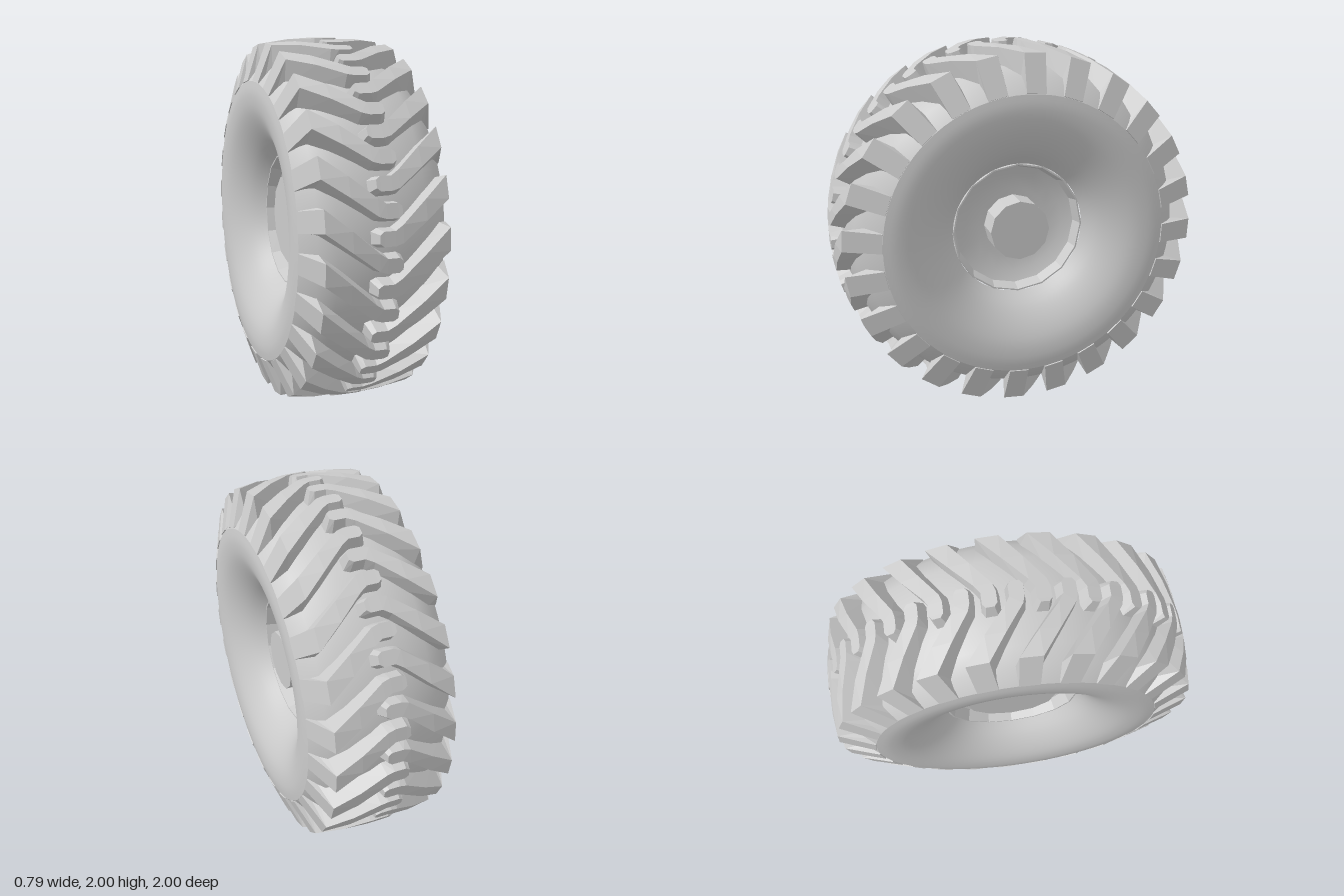
import * as THREE from 'three';

const LUGS = 24;
const DEG = Math.PI / 180;
const smooth = new THREE.MeshStandardMaterial({ color: 0xcccccc });
const faceted = new THREE.MeshStandardMaterial({ color: 0xcccccc, flatShading: true });

// Revolves [x, radius] points around the axle (the x axis)
function revolve(name, points, segments, material) {
  const geo = new THREE.LatheGeometry(points.map(([x, r]) => new THREE.Vector2(r, x)), segments);
  geo.rotateZ(-Math.PI / 2);
  const mesh = new THREE.Mesh(geo, material);
  mesh.name = name;
  return mesh;
}

// Mirrors a profile to the other side, keeping its faces outward
const mirror = (points) => points.map(([x, r]) => [-x, r]).reverse();

// Tread bar stations, shoulder to centre hook:
// [angle, half width, base flare (degrees), top x, top radius, base x, base radius]
const STATIONS = [
  [3.2, 3.9, 0.2, 0.392, 0.775, 0.36, 0.76],
  [3.2, 3.4, 1.3, 0.32, 0.972, 0.315, 0.83],
  [-2.9, 3.0, 1.3, 0.19, 0.99, 0.19, 0.885],
  [-9.0, 2.5, 1.2, 0.06, 0.999, 0.065, 0.91],
  [-10.1, 2.1, 1.0, 0.02, 1.0, 0.02, 0.91],
  [-10.1, 2.1, 1.0, -0.04, 1.0, -0.05, 0.91],
  [-10.1, 1.2, 0.8, -0.06, 1.0, -0.08, 0.91],
];

function lugGeometry(side) {
  const rings = STATIONS.map(([angle, half, flare, xt, rt, xb, rb]) => {
    const corner = (x, r, a) => [side * x, r * Math.sin(a * DEG), r * Math.cos(a * DEG)];
    return [
      corner(xb, rb, angle - half - flare), corner(xt, rt, angle - half),
      corner(xt, rt, angle + half), corner(xb, rb, angle + half + flare),
    ];
  });
  const pos = [];
  const tri = (a, b, c) => pos.push(...a, ...(side > 0 ? b : c), ...(side > 0 ? c : b));
  const quad = (a, b, c, d) => { tri(a, b, c); tri(a, c, d); };
  for (let k = 0; k < rings.length - 1; k++) {
    for (let j = 0; j < 4; j++) {
      const n = (j + 1) % 4;
      quad(rings[k][j], rings[k][n], rings[k + 1][n], rings[k + 1][j]);
    }
  }
  const first = rings[0], last = rings[rings.length - 1];
  quad(first[0], first[3], first[2], first[1]);
  quad(...last);
  const geo = new THREE.BufferGeometry();
  geo.setAttribute('position', new THREE.Float32BufferAttribute(pos, 3));
  geo.computeVertexNormals();
  return geo;
}

export function createModel() {
  const model = new THREE.Group();
  model.name = 'tractorWheel';
  const wheel = new THREE.Group();
  wheel.name = 'wheel';
  wheel.position.y = 1;
  model.add(wheel);

  // Tyre body under the tread
  const crown = [[0, 0.93], [0.12, 0.92], [0.23, 0.895], [0.32, 0.855], [0.388, 0.77]];
  wheel.add(revolve('tyreCrown', [...mirror(crown.slice(1)), ...crown], 72, smooth));

  // Bulged sidewalls that funnel in to the rim
  const curve = new THREE.SplineCurve([
    [0.388, 0.77], [0.396, 0.7], [0.384, 0.61], [0.345, 0.52], [0.285, 0.435], [0.21, 0.365],
  ].map(([x, r]) => new THREE.Vector2(x, r)));
  const wall = curve.getPoints(18).map((p) => [p.x, p.y]);

  // Thin rim edge and the dished plate inside it
  const rim = [[0.2, 0.37], [0.215, 0.366], [0.215, 0.358], [0.15, 0.338]];
  const plate = [[0.15, 0.34], [0.125, 0.28], [0.11, 0.2], [0.1, 0]];

  for (const [side, label] of [[1, 'left'], [-1, 'right']]) {
    const oriented = (p) => (side > 0 ? p : mirror(p));
    wheel.add(revolve(label + 'Sidewall', oriented(wall), 72, smooth));
    wheel.add(revolve(label + 'RimRing', oriented(rim), 16, faceted));
    wheel.add(revolve(label + 'WheelPlate', oriented(plate), 16, smooth));

    // Hub: narrow and long on one side, wide and short on the other
    const r = side > 0 ? 0.165 : 0.25;
    const end = side > 0 ? 0.255 : 0.2;
    wheel.add(revolve(label + 'Hub', oriented([[0.06, r], [end, r], [end, 0]]), 12, faceted));

    // Tread bars, the two sides staggered by half a pitch
    const tread = new THREE.Group();
    tread.name = label + 'Tread';
    const geo = lugGeometry(side);
    for (let i = 0; i < LUGS; i++) {
      const lug = new THREE.Mesh(geo, faceted);
      lug.name = 'treadBar';
      lug.rotation.x = -((i + (side > 0 ? 0 : 0.5)) / LUGS) * Math.PI * 2;
      tread.add(lug);
    }
    wheel.add(tread);
  }
  return model;
}
